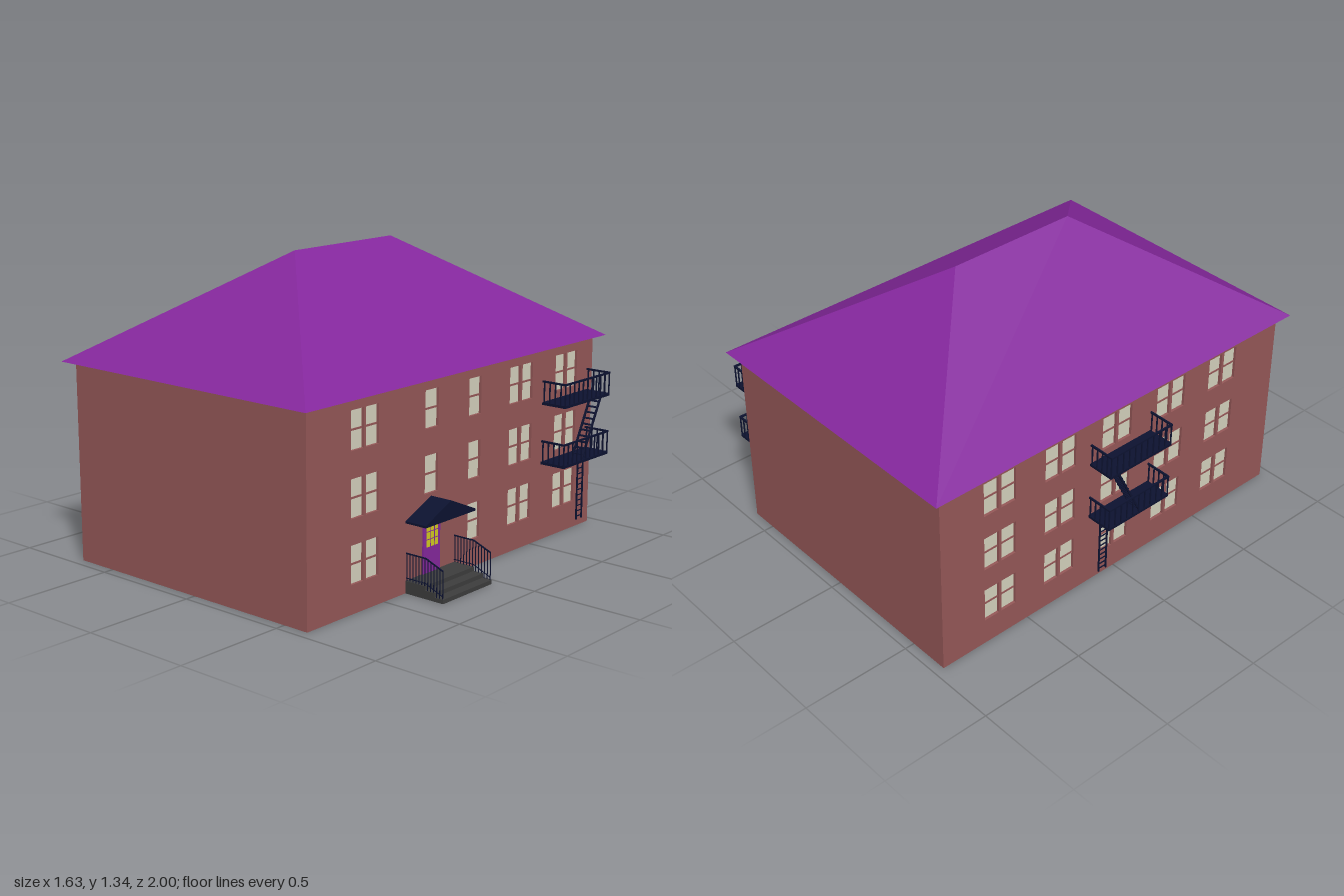
import * as THREE from 'three';

const mat = (color) => new THREE.MeshStandardMaterial({ color, flatShading: true });
const brick = mat(0x945757), cream = mat(0xd3d0bc), purple = mat(0x84279c);
const navy = mat(0x0c1230), stone = mat(0x3c3c3c), yellow = mat(0xd2ca22);
purple.side = THREE.DoubleSide;

const XR = 0.62, XL = -0.69, ZW = 0.955, H = 0.875, T = 0.02;
const ROWS = [0.123, 0.391, 0.664], WIN_H = 0.161;

function add(parent, name, geometry, material, x = 0, y = 0, z = 0) {
  const mesh = new THREE.Mesh(geometry, material);
  mesh.name = name;
  mesh.position.set(x, y, z);
  parent.add(mesh);
  return mesh;
}

// Box given by its minimum and maximum corners
function block(parent, name, material, a, b) {
  const s = a.map((v, i) => Math.abs(b[i] - v)), c = a.map((v, i) => (v + b[i]) / 2);
  return add(parent, name, new THREE.BoxGeometry(...s), material, ...c);
}

// Square bar between two points
function bar(parent, name, a, b, w = 0.005, material = navy) {
  const p = new THREE.Vector3(...a), q = new THREE.Vector3(...b);
  const d = q.clone().sub(p), mid = p.clone().add(q).multiplyScalar(0.5);
  const mesh = add(parent, name, new THREE.BoxGeometry(w, d.length(), w), material, mid.x, mid.y, mid.z);
  mesh.quaternion.setFromUnitVectors(new THREE.Vector3(0, 1, 0), d.normalize());
}

function group(parent, name) {
  const g = new THREE.Group();
  g.name = name;
  parent.add(g);
  return g;
}

// Long wall with window openings; windows are [z centre, width, row]
function windowWall(parent, name, outerX, side, windows) {
  const g = group(parent, name);
  const shape = new THREE.Shape();
  shape.moveTo(-ZW, 0).lineTo(ZW, 0).lineTo(ZW, H).lineTo(-ZW, H).closePath();
  const x = outerX - side * 0.014;
  for (const [z, w, row] of windows) {
    const z0 = z - w / 2, z1 = z + w / 2, y0 = ROWS[row], y1 = y0 + WIN_H, ym = (y0 + y1) / 2;
    const hole = new THREE.Path();
    hole.moveTo(z0, y0).lineTo(z0, y1).lineTo(z1, y1).lineTo(z1, y0).closePath();
    shape.holes.push(hole);
    block(g, 'windowPane', cream, [x - 0.002, y0, z0], [x + 0.002, y1, z1]);
    block(g, 'windowBar', brick, [x - 0.005, ym - 0.004, z0], [x + 0.005, ym + 0.004, z1]);
  }
  const geo = new THREE.ExtrudeGeometry(shape, { depth: T, bevelEnabled: false });
  geo.rotateY(-Math.PI / 2);
  add(g, 'wallPanel', geo, brick, side > 0 ? outerX : outerX + T);
}

// Hipped roof from its eave corners and ridge ends
function hipRoof() {
  const [a, b, c, d] = [[-0.73, H, 1], [0.66, H, 1], [0.66, H, -1], [-0.73, H, -1]];
  const f = [-0.035, 1.335, 0.31], r = [-0.035, 1.335, -0.31];
  const tris = [a, b, f, b, c, r, b, r, f, c, d, r, d, a, f, d, f, r];
  const geo = new THREE.BufferGeometry();
  geo.setAttribute('position', new THREE.Float32BufferAttribute(tris.flat(), 3));
  geo.computeVertexNormals();
  return geo;
}

// Fire escape: two railed platforms, a stair and a ladder; s is the outward x direction
function fireEscape(parent, wallX, zc, s) {
  const g = group(parent, 'fireEscape');
  g.position.set(wallX, 0, zc);
  const D = 0.122, Z = 0.175;
  for (const y of [0.35, 0.62]) {
    const p = group(g, 'platform');
    block(p, 'platformFloor', navy, [0, y, -Z], [s * D, y + 0.012, Z]);
    const top = y + 0.105, e = s * (D - 0.003);
    bar(p, 'frontRail', [e, top, -Z], [e, top, Z], 0.008);
    for (let i = 0; i <= 10; i++) {
      const z = -Z + 0.003 + (i / 10) * (2 * Z - 0.006);
      bar(p, 'baluster', [e, y, z], [e, top, z]);
    }
    for (const z of [-Z + 0.003, Z - 0.003]) {
      bar(p, 'endRail', [0, top, z], [e, top, z], 0.008);
      for (let i = 0; i < 4; i++) {
        const x = s * (0.008 + i * 0.029);
        bar(p, 'baluster', [x, y, z], [x, top, z]);
      }
    }
  }
  // Stair between the platforms
  const stair = group(g, 'stair');
  for (const x of [0.056, 0.108]) bar(stair, 'stringer', [s * x, 0.355, 0.015], [s * x, 0.625, -0.125], 0.008);
  for (let i = 1; i < 11; i++) {
    const t = i / 11, y = 0.355 + 0.27 * t, z = 0.015 - 0.14 * t;
    block(stair, 'tread', navy, [s * 0.056, y - 0.002, z - 0.009], [s * 0.108, y + 0.002, z + 0.009]);
  }
  // Ladder down to the ground
  const ladder = group(g, 'ladder'), lx = s * 0.023;
  for (const z of [-0.126, -0.084]) bar(ladder, 'ladderSide', [lx, 0.04, z], [lx, 0.355, z], 0.006);
  for (let i = 0; i < 12; i++) {
    const y = 0.055 + i * 0.025;
    bar(ladder, 'rung', [lx, y, -0.126], [lx, y, -0.084], 0.004);
  }
}

// Door, canopy, steps and handrails
function entrance(parent) {
  const g = group(parent, 'entrance');
  block(g, 'door', purple, [XR - 0.01, 0.05, 0.15], [XR + 0.006, 0.285, 0.26]);
  block(g, 'doorGlass', yellow, [XR, 0.165, 0.167], [XR + 0.008, 0.264, 0.241]);
  for (const t of [1 / 3, 2 / 3]) {
    const z = 0.167 + 0.074 * t, y = 0.165 + 0.099 * t;
    bar(g, 'glazingBar', [XR + 0.008, 0.165, z], [XR + 0.008, 0.264, z], 0.003, purple);
    bar(g, 'glazingBar', [XR + 0.008, y, 0.167], [XR + 0.008, y, 0.241], 0.003, purple);
  }
  const gable = new THREE.Shape();
  gable.moveTo(0.042, 0.298).lineTo(0.37, 0.298).lineTo(0.37, 0.307).lineTo(0.206, 0.378).lineTo(0.042, 0.307);
  const canopy = new THREE.ExtrudeGeometry(gable, { depth: 0.105, bevelEnabled: false });
  canopy.rotateY(-Math.PI / 2);
  add(g, 'canopy', canopy, navy, XR + 0.105);
  [0.815, 0.77, 0.722].forEach((x, i) =>
    block(g, 'step', stone, [XR, i * 0.018, 0.043], [x, (i + 1) * 0.018, 0.367]));
  for (const z of [0.047, 0.363]) {
    const rail = group(g, 'handrail');
    bar(rail, 'topRail', [XR, 0.17, z], [0.722, 0.17, z], 0.005);
    bar(rail, 'slopedRail', [0.722, 0.17, z], [0.81, 0.135, z], 0.005);
    bar(rail, 'lowerRail', [XR, 0.065, z], [0.722, 0.065, z], 0.003);
    bar(rail, 'lowerSlopedRail', [0.722, 0.065, z], [0.81, 0.028, z], 0.003);
    for (let i = 0; i <= 12; i++) {
      const x = XR + 0.005 + i * 0.0154;
      const foot = x < 0.722 ? 0.054 : x < 0.77 ? 0.036 : 0.018;
      bar(rail, 'baluster', [x, foot, z], [x, 0.17 - Math.max(0, x - 0.722) * 0.4, z], 0.003);
    }
  }
}

export function createModel() {
  const model = new THREE.Group();
  model.name = 'apartmentBuilding';

  // Window columns on both long sides
  const pair = (z) => [[z - 0.045, 0.076], [z + 0.045, 0.076]];
  const rightCols = [...pair(0.62), [0.205, 0.085], [-0.083, 0.082], ...pair(-0.41), ...pair(-0.75)];
  const leftCols = [0.62, 0.305, -0.01, -0.325, -0.65].flatMap(pair);
  const rows = (cols) => ROWS.flatMap((_, r) => cols.map(([z, w]) => [z, w, r]));
  windowWall(model, 'rightWall', XR, 1, rows(rightCols).filter(([z, , r]) => r > 0 || z !== 0.205));
  windowWall(model, 'leftWall', XL, -1, rows(leftCols));

  // Plain end walls
  for (const s of [1, -1]) {
    block(model, s > 0 ? 'frontWall' : 'backWall', brick, [XL, 0, s * (ZW - T)], [XR, H, s * ZW]);
  }

  // Roof with a flat strip under the eaves
  add(model, 'roof', hipRoof(), purple);
  const soffit = new THREE.Shape();
  soffit.moveTo(-0.73, -1).lineTo(0.66, -1).lineTo(0.66, 1).lineTo(-0.73, 1).closePath();
  const inner = new THREE.Path();
  inner.moveTo(XL, -ZW).lineTo(XL, ZW).lineTo(XR, ZW).lineTo(XR, -ZW).closePath();
  soffit.holes.push(inner);
  const soffitGeo = new THREE.ShapeGeometry(soffit);
  soffitGeo.rotateX(Math.PI / 2);
  add(model, 'eaveSoffit', soffitGeo, brick, 0, H - 0.001, 0);

  entrance(model);
  fireEscape(model, XR, -0.745, 1);
  fireEscape(model, XL, 0.015, -1);
  return model;
}
